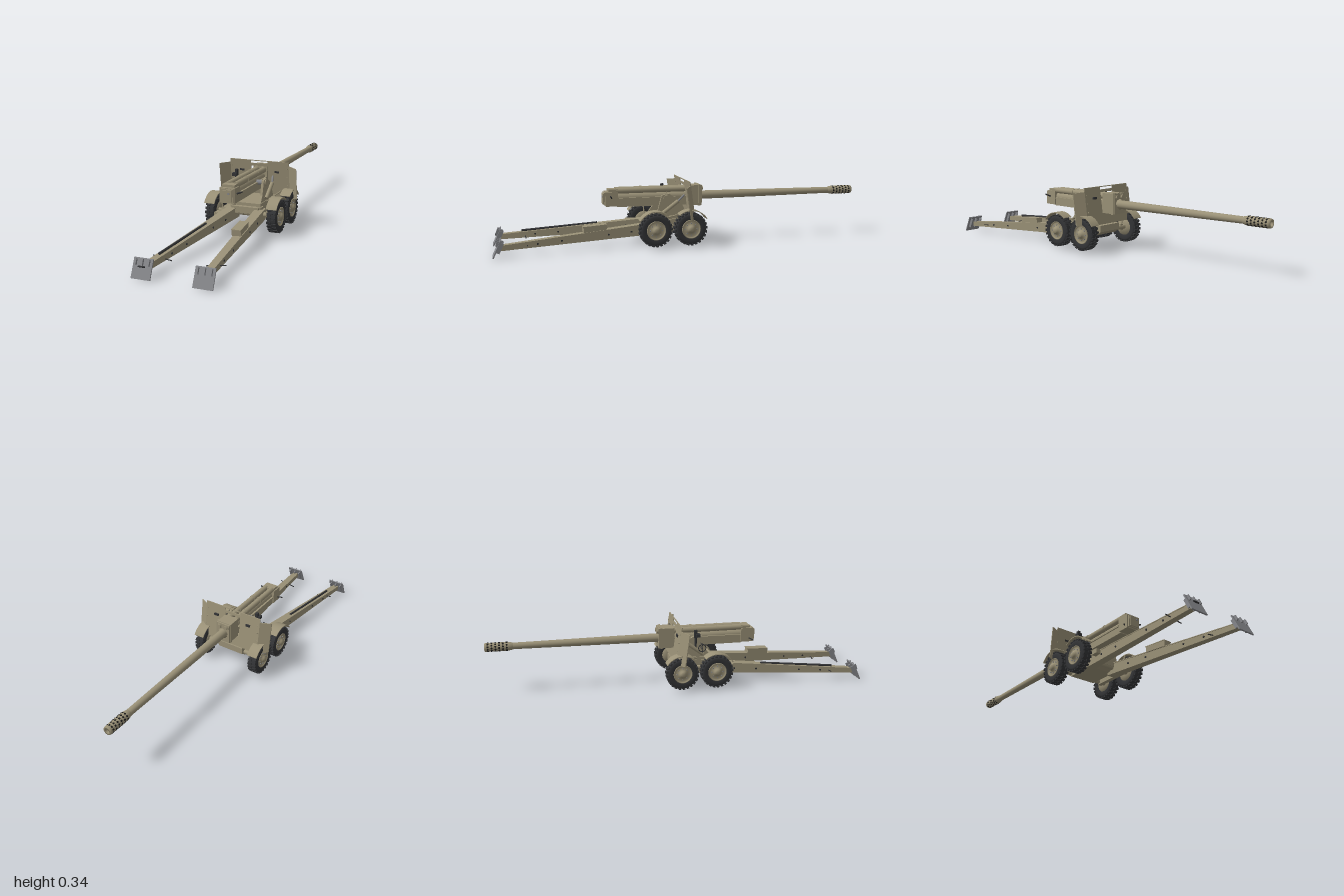
import * as THREE from 'three';

const mat = (color, extra = {}) => new THREE.MeshStandardMaterial({ color, ...extra });
const TAN = mat(0x9a9177), DARK = mat(0x333436), STEEL = mat(0x85868a), HOLE = mat(0x1c1c1c);
const V = (x, y, z) => new THREE.Vector3(x, y, z);

export function createModel() {
  const root = new THREE.Group();
  const add = (name, geo, m = TAN, parent = root) => {
    const mesh = new THREE.Mesh(geo, m);
    mesh.name = name;
    parent.add(mesh);
    return mesh;
  };
  const group = (name, parent = root) => {
    const g = new THREE.Group();
    g.name = name;
    parent.add(g);
    return g;
  };
  const box = (name, w, h, d, x, y, z, m, parent) => {
    const b = add(name, new THREE.BoxGeometry(w, h, d), m, parent);
    b.position.set(x, y, z);
    return b;
  };
  // Cylinder running from a to b
  const rod = (name, a, b, r, m, parent, r2 = r, seg = 14) => {
    const c = add(name, new THREE.CylinderGeometry(r2, r, a.distanceTo(b), seg), m, parent);
    c.position.copy(a).add(b).multiplyScalar(0.5);
    c.quaternion.setFromUnitVectors(V(0, 1, 0), b.clone().sub(a).normalize());
    return c;
  };
  // Box whose near and far ends have different centres and sizes
  const taper = (name, a, w0, h0, b, w1, h1, m, parent) => {
    const g = new THREE.BoxGeometry(1, 1, 1), p = g.attributes.position;
    for (let i = 0; i < p.count; i++) {
      const far = p.getZ(i) > 0, c = far ? b : a;
      p.setXYZ(i, c.x + p.getX(i) * (far ? w1 : w0), c.y + p.getY(i) * (far ? h1 : h0), c.z);
    }
    g.computeVertexNormals();
    return add(name, g, m, parent);
  };
  const poly = pts => new THREE.Shape(pts.map(([x, y]) => new THREE.Vector2(x, y)));
  // Side profile drawn in (z, y), given a thickness across x
  const profile = (name, shape, x, w, m, parent) => {
    const g = new THREE.ExtrudeGeometry(shape, { depth: w, bevelEnabled: false, curveSegments: 16 });
    g.translate(0, 0, -w / 2).rotateY(-Math.PI / 2).translate(x, 0, 0);
    return add(name, g, m, parent);
  };

  // Barrel with a hollow muzzle
  const lathe = (name, pts, m, parent, seg = 28) => {
    const g = new THREE.LatheGeometry(pts.map(([r, l]) => new THREE.Vector2(r, l)), seg);
    return add(name, g.rotateX(-Math.PI / 2).translate(0, 0.25, 0), m, parent);
  };
  const gun = group('gun');
  lathe('barrel', [[0.03, -0.36], [0.029, 0.1], [0.023, 0.1], [0.021, 0.4], [0.017, 0.865]], TAN, gun);
  lathe('muzzleBrake', [[0.017, 0.855], [0.02, 0.865], [0.023, 0.88], [0.023, 0.99], [0.021, 1], [0.012, 1], [0.012, 0.9], [0, 0.9]], TAN, gun);
  lathe('bore', [[0.0119, 0.93], [0, 0.93]], HOLE, gun).material = mat(0x1c1c1c, { side: THREE.DoubleSide });
  for (let ring = 0; ring < 6; ring++) for (let k = 0; k < 10; k++) {
    const a = (k + (ring % 2) / 2) * Math.PI / 5, z = -0.887 - ring * 0.019;
    const at = r => V(Math.cos(a) * r, 0.25 + Math.sin(a) * r, z);
    rod('brakePort', at(0.02), at(0.0236), 0.0052, HOLE, gun, 0.0052, 8);
  }

  // Cradle, collar and recoil cylinders
  box('cradle', 0.066, 0.045, 0.46, 0, 0.2275, 0.13, TAN, gun);
  box('cradleRail', 0.078, 0.01, 0.4, 0, 0.247, 0.15, TAN, gun);
  box('collar', 0.08, 0.108, 0.085, 0, 0.254, -0.057, TAN, gun);
  box('collarFlange', 0.086, 0.114, 0.012, 0, 0.254, -0.085, TAN, gun);
  for (const s of [-1, 1]) {
    rod('recoilCylinder', V(s * 0.02, 0.29, 0.365), V(s * 0.02, 0.29, -0.102), 0.0155, TAN, gun, 0.0155, 20);
    rod('recoilCap', V(s * 0.02, 0.29, -0.1), V(s * 0.02, 0.29, -0.108), 0.011, TAN, gun);
    for (const z of [0.08, 0.22]) rod('recoilBand', V(s * 0.02, 0.29, z), V(s * 0.02, 0.29, z + 0.012), 0.0175, TAN, gun, 0.0175, 20);
  }

  // Breech
  box('breechRing', 0.08, 0.076, 0.065, 0, 0.248, 0.388, TAN, gun);
  box('breechTop', 0.068, 0.014, 0.05, 0, 0.292, 0.38, TAN, gun);
  box('breechFrame', 0.068, 0.066, 0.008, 0, 0.249, 0.424, TAN, gun);
  box('breechBlock', 0.056, 0.056, 0.008, 0, 0.249, 0.43, TAN, gun);
  rod('firingPin', V(0.014, 0.262, 0.43), V(0.014, 0.262, 0.438), 0.005, STEEL, gun);
  rod('breechLever', V(0.04, 0.255, 0.39), V(0.07, 0.268, 0.4), 0.004, DARK, gun);
  rod('breechHandle', V(-0.04, 0.23, 0.4), V(-0.06, 0.222, 0.42), 0.003, DARK, gun);

  // Bent shield with a gun window, top slot and swept-back wings
  const shield = group('shield');
  const shieldPlate = (name, shape) => {
    const g = new THREE.ExtrudeGeometry(shape, { depth: 0.005, bevelEnabled: false }), p = g.attributes.position;
    for (let i = 0; i < p.count; i++) {
      const x = Math.abs(p.getX(i)), y = p.getY(i);
      p.setZ(i, p.getZ(i) - 0.03 + (y - 0.14) * 0.14 + Math.max(0, x - 0.168) * 0.65);
    }
    g.computeVertexNormals();
    add(name, g, TAN, shield);
  };
  const centre = poly([[-0.168, 0.142], [0.168, 0.142], [0.168, 0.343], [-0.168, 0.343]]);
  for (const [lo, hi] of [[0.2, 0.312], [0.326, 0.339]])
    centre.holes.push(poly([[-0.048, lo], [-0.048, hi], [0.048, hi], [0.048, lo]]));
  shieldPlate('shieldCentre', centre);
  for (const s of [-1, 1]) {
    const wing = [[0.168, 0.142], [0.22, 0.148], [0.22, 0.317], [0.168, 0.323]];
    shieldPlate('shieldWing', poly(wing.map(([x, y]) => [s * x, y])));
    box('visionPort', 0.026, 0.012, 0.012, s * 0.1, 0.285, -0.01, DARK, shield);
    rod('shieldBrace', V(s * 0.12, 0.18, -0.02), V(s * 0.082, 0.148, 0.1), 0.0035, TAN, shield);
    for (let i = 0; i < 4; i++) box('shieldBolt', 0.005, 0.005, 0.012, s * 0.158, 0.17 + i * 0.045, -0.023 + i * 0.006, TAN, shield);
  }

  // Carriage body and cheeks carrying the trunnions
  const carriage = group('carriage');
  profile('lowerCarriage', poly([[-0.03, 0.1], [0.0, 0.08], [0.16, 0.08], [0.2, 0.1], [0.2, 0.135], [-0.03, 0.135]]), 0, 0.15, TAN, carriage);
  box('turntable', 0.166, 0.016, 0.21, 0, 0.147, 0.085, TAN, carriage);
  for (const z of [0, 0.185]) rod('axle', V(-0.17, 0.1, z), V(0.17, 0.1, z), 0.013, TAN, carriage);
  for (const s of [-1, 1]) {
    profile('cheek', poly([[-0.01, 0.15], [0.18, 0.15], [0.15, 0.19], [0.13, 0.265], [0.09, 0.272], [0.03, 0.235]]), s * 0.072, 0.013, TAN, carriage);
    rod('trunnion', V(s * 0.03, 0.25, 0.105), V(s * 0.066, 0.25, 0.105), 0.013, STEEL, carriage);
    rod('trunnionCap', V(s * 0.075, 0.25, 0.105), V(s * 0.084, 0.25, 0.105), 0.016, TAN, carriage);
    rod('balancer', V(s * 0.092, 0.172, 0.13), V(s * 0.092, 0.235, 0.045), 0.0105, TAN, carriage);
    rod('balancerRod', V(s * 0.092, 0.235, 0.045), V(s * 0.082, 0.265, 0.01), 0.005, STEEL, carriage);
    box('bogieBeam', 0.024, 0.035, 0.2, s * 0.125, 0.1, 0.0925, TAN, carriage);
    rod('trailHinge', V(s * 0.075, 0.065, 0.175), V(s * 0.075, 0.138, 0.175), 0.017, TAN, carriage);
  }

  // Sight and laying controls on the right-hand side
  const sight = group('sight');
  box('sightBody', 0.014, 0.042, 0.016, -0.093, 0.285, 0.09, DARK, sight);
  box('sightEyepiece', 0.026, 0.016, 0.022, -0.099, 0.279, 0.1, DARK, sight);
  rod('sightPost', V(-0.09, 0.2, 0.09), V(-0.09, 0.27, 0.09), 0.006, DARK, sight);
  rod('controlPost', V(-0.115, 0.185, 0.12), V(-0.115, 0.24, 0.12), 0.002, DARK, sight);
  for (const y of [0.205, 0.215, 0.23]) rod('controlShaft', V(-0.128, y, 0.12), V(-0.08, y, 0.12), 0.002, DARK, sight);
  const handwheel = add('handwheel', new THREE.TorusGeometry(0.02, 0.0025, 6, 20), DARK, sight);
  handwheel.rotation.y = Math.PI / 2;
  handwheel.position.set(-0.116, 0.212, 0.12);

  // Tandem wheels with treaded tyres, dished hubs and mudguards
  const wheel = (s, z) => {
    const w = group('wheel');
    const turned = (name, pts, m) => add(name, new THREE.LatheGeometry(
      pts.map(([r, x]) => new THREE.Vector2(r, x)), 32).rotateZ(-s * Math.PI / 2), m, w);
    turned('tyre', [[0.046, -0.02], [0.052, -0.024], [0.07, -0.025], [0.079, -0.021], [0.081, -0.014], [0.081, 0.014],
      [0.079, 0.021], [0.07, 0.025], [0.052, 0.024], [0.046, 0.02]], DARK);
    turned('rim', [[0, -0.016], [0.05, -0.021], [0.05, 0.024], [0.045, 0.025], [0.042, 0.016], [0.022, 0.022], [0.02, 0.03], [0.013, 0.031], [0.012, 0.037], [0, 0.037]], TAN);
    for (let k = 0; k < 24; k++) for (const side of [-1, 1]) {
      const a = (k + side * 0.25) * Math.PI / 12;
      const lug = box('treadLug', 0.023, 0.008, 0.013, side * 0.0125, Math.cos(a) * 0.082, Math.sin(a) * 0.082, DARK, w);
      lug.rotation.x = a;
    }
    for (let k = 0; k < 8; k++) {
      const a = k * Math.PI / 4, y = Math.cos(a) * 0.031, zz = Math.sin(a) * 0.031;
      rod('wheelNut', V(s * 0.014, y, zz), V(s * 0.024, y, zz), 0.003, STEEL, w, 0.003, 6);
    }
    w.position.set(s * 0.17, 0.1, z);
  };
  for (const s of [-1, 1]) for (const z of [0, 0.185]) {
    wheel(s, z);
    const tilt = z > 0 ? -0.15 : 0.15, a0 = Math.PI / 2 - 0.85 + tilt, a1 = Math.PI / 2 + 0.85 + tilt;
    const arc = new THREE.Shape();
    arc.absarc(z, 0.1, 0.1, a0, a1, false);
    arc.absarc(z, 0.1, 0.096, a1, a0, true);
    profile('mudguard', arc, s * 0.171, 0.057, TAN);
    rod('mudguardStay', V(s * 0.13, 0.11, z), V(s * 0.145, 0.196, z), 0.004, TAN);
  }

  // Split trails ending in spades
  for (const s of [-1, 1]) {
    const t = group(s > 0 ? 'leftTrail' : 'rightTrail');
    taper('trailBeam', V(s * 0.074, 0.095, 0.15), 0.046, 0.058, V(s * 0.146, 0.044, 0.965), 0.03, 0.026, TAN, t);
    taper('trailFlange', V(s * 0.074, 0.125, 0.16), 0.052, 0.005, V(s * 0.144, 0.058, 0.94), 0.035, 0.004, TAN, t);
    for (const z of [0.3, 0.42, 0.66, 0.78]) {
      const k = (z - 0.15) / 0.815, x = s * (0.074 + 0.072 * k), y = 0.095 - 0.051 * k, h = 0.026 - 0.008 * k;
      rod('trailPin', V(x - h, y, z), V(x + h, y, z), 0.005, DARK, t);
    }
    rod('liftingBar', V(s * 0.085, 0.04, 0.83), V(s * 0.18, 0.055, 0.83), 0.0025, DARK, t);
    const spade = group('spade', t);
    box('spadePlate', 0.094, 0.094, 0.006, 0, 0, 0, STEEL, spade);
    for (const x of [-0.032, 0, 0.032]) {
      box('spadeRib', 0.006, 0.03, 0.012, x, 0.026, 0.007, STEEL, spade);
      box('spadeGusset', 0.006, 0.055, 0.018, x, 0.01, -0.011, STEEL, spade);
    }
    if (s < 0) rod('spadeHandle', V(-0.016, 0.008, 0.01), V(0.016, 0.008, 0.01), 0.004, DARK, spade);
    spade.position.set(s * 0.148, 0.045, 0.977);
    spade.rotation.x = -0.43;
  }
  const toolBox = box('toolBox', 0.045, 0.032, 0.12, 0.099, 0.111, 0.49);
  toolBox.rotation.set(0.06, 0.09, 0);
  taper('toolBoxLid', V(0.094, 0.13, 0.428), 0.049, 0.004, V(0.104, 0.123, 0.552), 0.049, 0.004);
  rod('stowedBar', V(-0.103, 0.104, 0.45), V(-0.137, 0.073, 0.85), 0.006, DARK);
  box('stowageBlock', 0.028, 0.024, 0.04, -0.119, 0.105, 0.27);
  return root;
}
